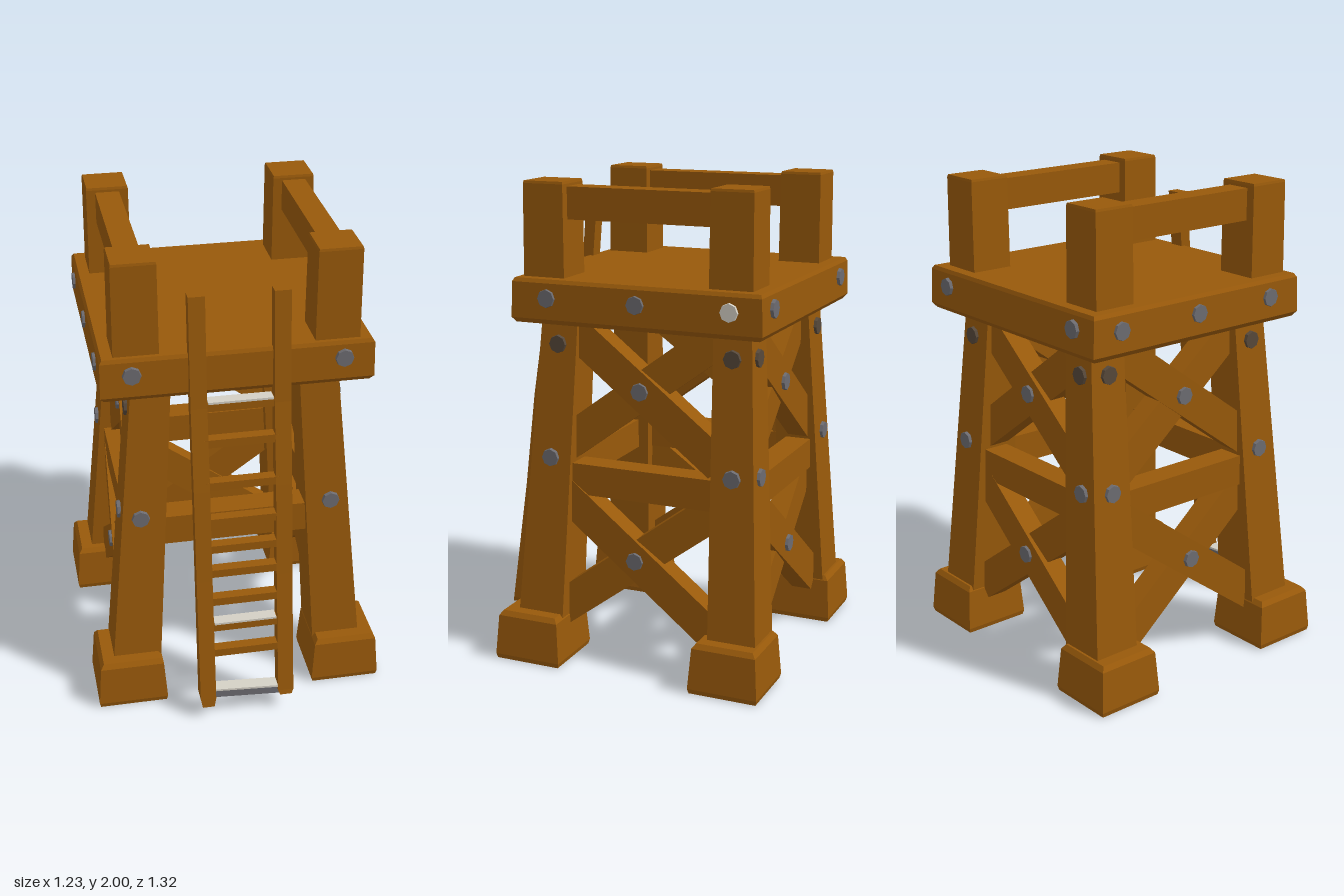
import * as THREE from 'three';

const mat = (name, color) => {
  const m = new THREE.MeshStandardMaterial({ color, flatShading: true });
  m.name = name;
  return m;
};

export function createModel() {
  const wood = mat('wood', 0x98590a);
  const metal = mat('bolt metal', 0x6c6b70);
  const dark = mat('rusty bolt', 0x56483a);
  const pale = mat('worn metal', 0xd3cfc4);
  const model = new THREE.Group();
  model.name = 'watchtower';
  const ZC = -0.0975; // tower centre in z

  const add = (name, geo, material = wood) => {
    const m = new THREE.Mesh(geo, material);
    m.name = name;
    model.add(m);
    return m;
  };

  // Timber lofted through rectangles [x, y, z, width, depth], bottom to top
  const loft = (name, rows) => {
    const n = rows.length - 1;
    const g = new THREE.BoxGeometry(1, 1, 1, 1, n, 1);
    const p = g.attributes.position;
    for (let i = 0; i < p.count; i++) {
      const [x, y, z, w, d] = rows[Math.round((p.getY(i) + 0.5) * n)];
      p.setXYZ(i, x + p.getX(i) * w, y, z + p.getZ(i) * d);
    }
    g.computeVertexNormals();
    return add(name, g);
  };

  // Straight timber between two points
  const beam = (name, a, b, w, h, material = wood) => {
    const m = add(name, new THREE.BoxGeometry(w, h, a.distanceTo(b)), material);
    m.position.copy(a).lerp(b, 0.5);
    m.lookAt(b);
    return m;
  };
  const V = (x, y, z) => new THREE.Vector3(x, y, z);

  // Leg centre line and half thickness at height y
  const t = (y) => (y - 0.2) / 1.24;
  const legX = (y) => 0.435 - 0.095 * t(y);
  const legZ = (y) => 0.4275 - 0.0525 * t(y);
  const half = (y) => 0.102 - 0.022 * t(y);

  // Shallow bolt head facing along a horizontal normal
  const bolt = (x, y, z, nx, nz, material = metal) => {
    const g = new THREE.CylinderGeometry(0.036, 0.04, 0.024, 8);
    g.rotateX(Math.PI / 2);
    const m = add('bolt', g, material);
    m.position.set(x, y, z);
    m.rotation.y = Math.atan2(nx, nz);
  };

  // Feet, legs and corner posts
  for (const sx of [-1, 1]) {
    for (const sz of [-1, 1]) {
      const fx = sx * 0.466, fz = -0.078 + sz * 0.438;
      loft('foot', [
        [fx, 0, fz, 0.285, 0.285], [fx, 0.02, fz, 0.295, 0.295],
        [fx, 0.19, fz, 0.27, 0.27], [fx, 0.21, fz, 0.24, 0.24],
      ]);
      loft('leg', [0.15, 0.8, 1.46].map((y) =>
        [sx * legX(y), y, ZC + sz * legZ(y), 2 * half(y), 2 * half(y)]));
      const px = sx * 0.398, pz = -0.09 + sz * 0.4;
      loft('post', [
        [px, 1.6, pz, 0.18, 0.18], [px, 1.99, pz, 0.175, 0.175], [px, 2, pz, 0.17, 0.17],
      ]);

      // Bolts on the outer leg faces
      for (const y of [0.87, 1.34]) {
        const m = y > 1 ? dark : metal;
        bolt(sx * (legX(y) + half(y)), y, ZC + sz * legZ(y), sx, 0, m);
        if (y < 1 || sz < 0) bolt(sx * (legX(y) + 0.015), y, ZC + sz * (legZ(y) + half(y)), 0, sz, m);
      }
      // Bolts on the platform edge
      bolt(sx * 0.542, 1.545, -0.117 + sz * 0.388, sx, 0, sx > 0 && sz < 0 ? pale : metal);
      bolt(sx * 0.42, 1.55, sz > 0 ? 0.428 : -0.638, 0, sz);
    }
    bolt(sx * 0.542, 1.545, -0.115, sx, 0);
    beam('handrail', V(sx * 0.398, 1.915, -0.44), V(sx * 0.398, 1.915, 0.26), 0.1, 0.13);
  }

  // Platform with softened edges
  loft('platform', [
    [0, 1.44, -0.105, 1.06, 1.04], [0, 1.46, -0.105, 1.09, 1.07],
    [0, 1.605, -0.105, 1.085, 1.06], [0, 1.62, -0.105, 1.065, 1.045],
  ]);

  // Tower sides: map (along, height, outward offset) to space
  const sides = [
    { n: [1, 0], at: (u, y, o) => V(legX(y) + o, y, ZC + 0.02 + u), braced: true },
    { n: [-1, 0], at: (u, y, o) => V(-legX(y) - o, y, ZC + 0.02 - u), braced: true },
    { n: [0, -1], at: (u, y, o) => V(u, y, ZC - legZ(y) - o), braced: true },
    { n: [0, 1], at: (u, y, o) => V(-u, y, ZC + legZ(y) + o), braced: false },
  ];
  for (const { n, at, braced } of sides) {
    beam('crossbeam', at(-0.37, 0.785, 0.01), at(0.37, 0.785, 0.01), 0.11, 0.13);
    if (!braced) continue;
    for (const mid of [0.47, 1.17]) {
      for (const s of [-1, 1]) {
        const o = s > 0 ? 0.015 : 0;
        beam('crossBrace', at(-0.35, mid - s * 0.26, o), at(0.35, mid + s * 0.26, o), 0.09, 0.145);
      }
      const c = at(0, mid, 0.06);
      bolt(c.x, c.y, c.z, n[0], n[1]);
    }
  }

  // Leaning ladder, slightly bowed
  const path = [[0.04, 0.625], [0.1, 0.62], [0.65, 0.548], [1.05, 0.5], [1.4, 0.445], [1.62, 0.425], [1.86, 0.405]];
  const ladderZ = (y) => {
    const i = Math.max(1, path.findIndex((p) => p[0] >= y));
    const [y0, z0] = path[i - 1], [y1, z1] = path[i];
    return z0 + (z1 - z0) * (y - y0) / (y1 - y0);
  };
  for (const s of [-1, 1]) {
    loft('ladderRail', path.map(([y, z], i) =>
      [s * 0.167, i ? y : y + (s > 0 ? 0.04 : 0.02), z, i ? 0.066 : 0.05, i < 2 ? 0.065 : 0.05]));
  }
  for (const y of [0.31, 0.43, 0.55, 0.68, 0.79, 0.91, 1.07, 1.25, 1.4]) {
    const z = ladderZ(y);
    beam('rung', V(-0.15, y, z), V(0.15, y, z), 0.045, 0.035);
    // Worn strips on two treads
    if (y === 0.43 || y === 1.4) {
      beam('wornTread', V(-0.13, y + 0.02, z), V(0.13, y + 0.02, z), 0.05, 0.009, pale);
    }
  }
  // Bottom rung is a bare metal tread, slightly tilted
  beam('bottomRung', V(-0.15, 0.115, 0.617), V(0.16, 0.095, 0.617), 0.05, 0.035, metal);
  beam('wornTread', V(-0.15, 0.136, 0.617), V(0.16, 0.116, 0.617), 0.055, 0.009, pale);
  return model;
}
